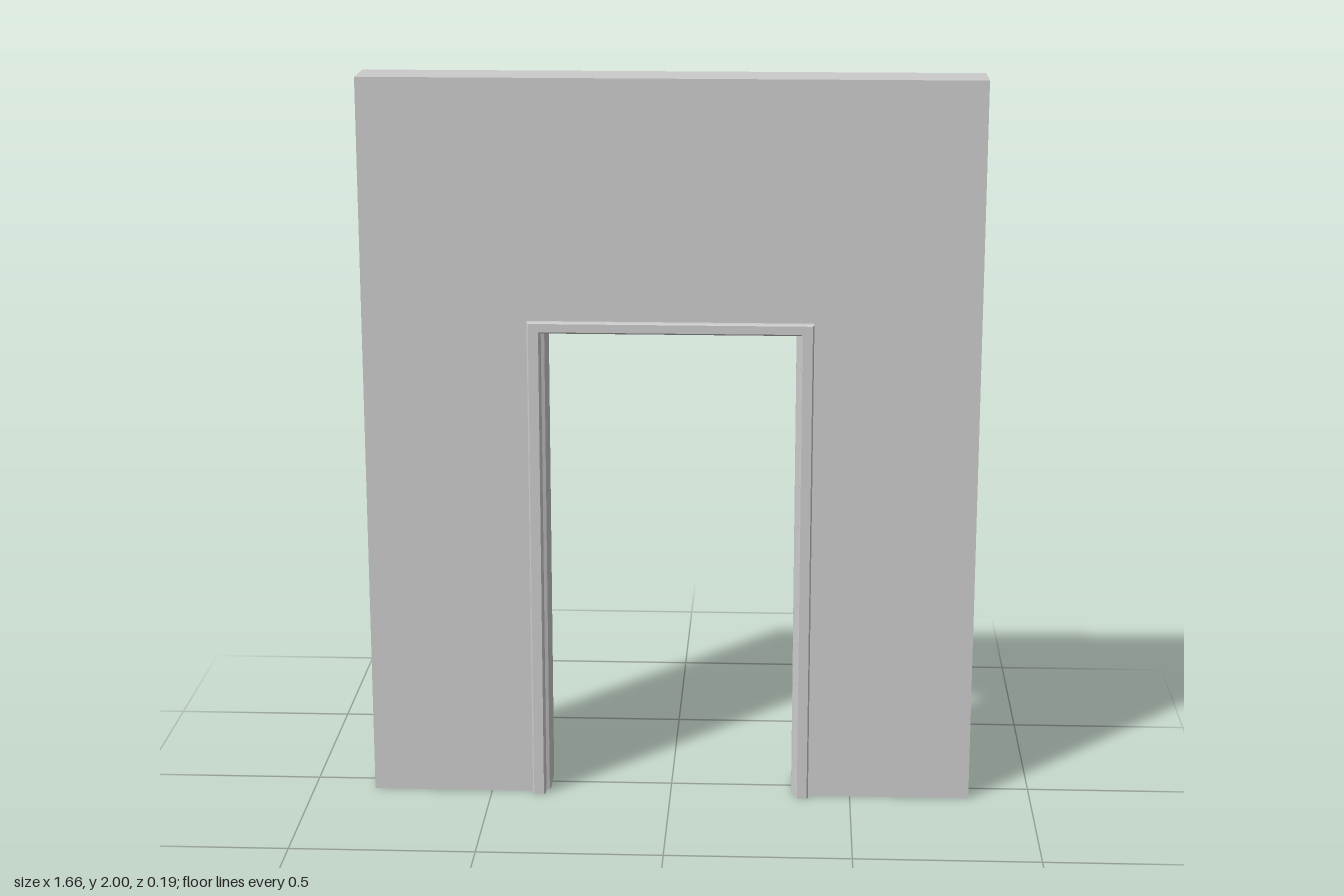
import * as THREE from 'three';

const HALF_W = 0.83, HEIGHT = 2, WALL_Z = 0.073;
const OPEN_X = 0.337, OPEN_Y = 1.31; // clear opening
const TOP_SCALE = 0.84;              // the head of the frame is slimmer than its legs
const REBATE = 0.03;                 // how far the frame is let into the wall

const material = () => new THREE.MeshStandardMaterial({ color: 0xcccccc, flatShading: true });

// Wall slab with a doorway cut up from the floor
function createWall() {
  const x = OPEN_X + REBATE, y = OPEN_Y + REBATE * TOP_SCALE;
  const outline = [
    [-HALF_W, 0], [-x, 0], [-x, y], [x, y], [x, 0],
    [HALF_W, 0], [HALF_W, HEIGHT], [-HALF_W, HEIGHT],
  ].map(([a, b]) => new THREE.Vector2(a, b));
  const geo = new THREE.ExtrudeGeometry(new THREE.Shape(outline), { depth: 2 * WALL_Z, bevelEnabled: false });
  geo.translate(0, 0, -WALL_Z);
  const wall = new THREE.Mesh(geo, material());
  wall.name = 'wall';
  return wall;
}

// Door frame: one moulded section swept up, across and down with mitred corners
function createFrame() {
  // [distance outwards from the opening, z]: casing lip, rounded edges, reveal, stop
  const half = [
    [REBATE, WALL_Z], [0.047, WALL_Z], [0.047, 0.091], [0.043, 0.095],
    [0.016, 0.095], [0.012, 0.091], [0.012, 0.06], [0.003, 0.056], [0, 0.05],
  ];
  const section = [...half, ...half.map(([d, z]) => [d, -z]).reverse()];
  const n = section.length;

  const stations = [[-1, 0], [-1, 1], [1, 1], [1, 0]];
  const positions = [];
  for (const [side, top] of stations)
    for (const [d, z] of section)
      positions.push(side * (OPEN_X + d), top * (OPEN_Y + d * TOP_SCALE), z);

  const index = [];
  for (let s = 0; s < stations.length - 1; s++)
    for (let i = 0; i < n; i++) {
      const a = s * n + i, b = s * n + ((i + 1) % n), c = a + n, d = b + n;
      index.push(a, b, c, b, d, c);
    }

  // Feet of the two legs
  const contour = section.map(([d, z]) => new THREE.Vector2(d, z));
  const last = (stations.length - 1) * n;
  for (const tri of THREE.ShapeUtils.triangulateShape(contour, [])) {
    const [a, b, c] = tri;
    const p = contour[a], q = contour[b], r = contour[c];
    const ccw = (q.x - p.x) * (r.y - p.y) - (q.y - p.y) * (r.x - p.x) > 0;
    const [u, v] = ccw ? [b, c] : [c, b];
    // both feet face down; the left one is mirrored in x
    index.push(a, v, u, last + a, last + u, last + v);
  }

  const geo = new THREE.BufferGeometry();
  geo.setAttribute('position', new THREE.Float32BufferAttribute(positions, 3));
  geo.setIndex(index);
  const flat = geo.toNonIndexed();
  flat.computeVertexNormals();
  const mat = material();
  mat.side = THREE.DoubleSide;
  const frame = new THREE.Mesh(flat, mat);
  frame.name = 'doorFrame';
  return frame;
}

export function createModel() {
  const group = new THREE.Group();
  group.name = 'doorwayWall';
  group.add(createWall(), createFrame());
  return group;
}
